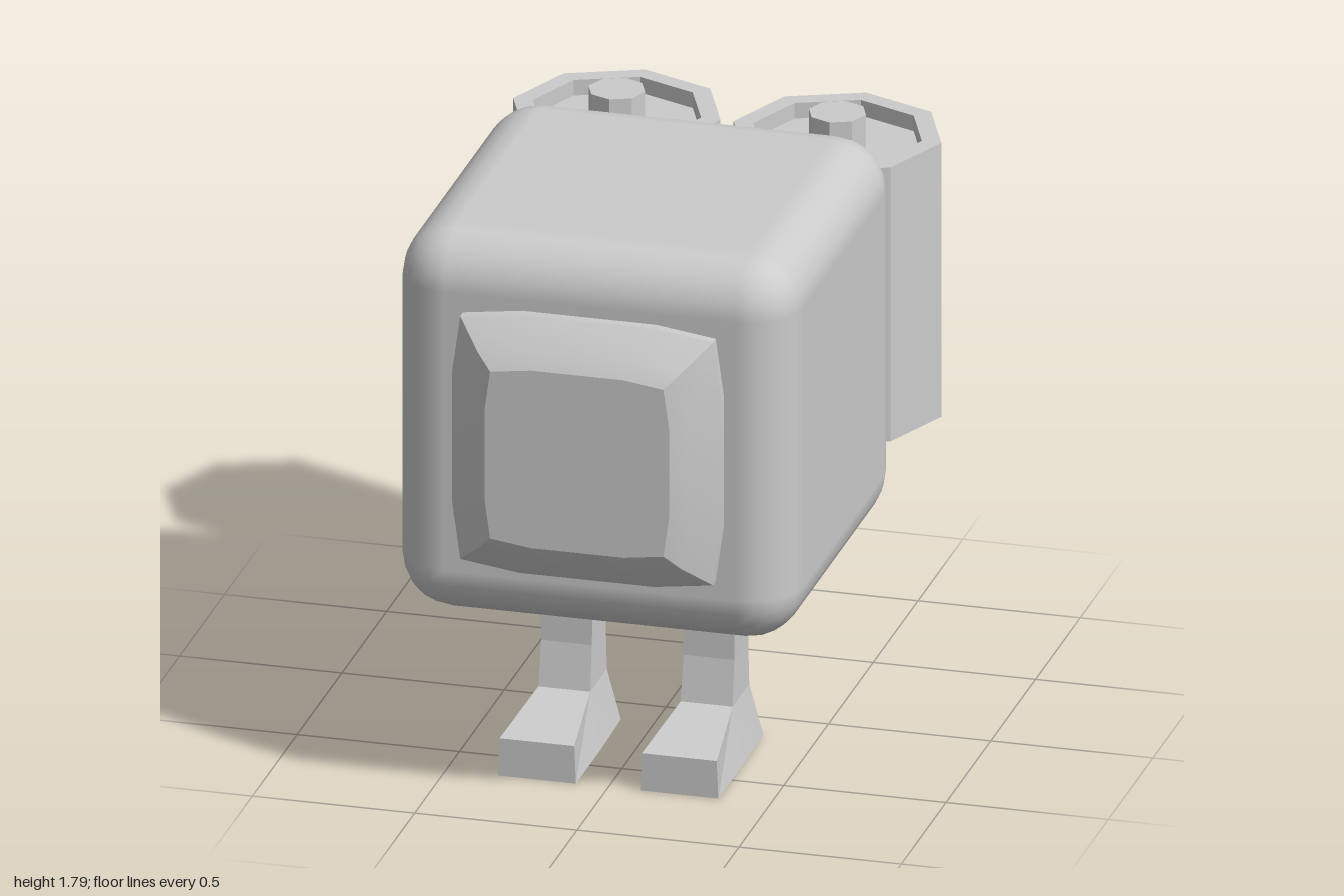
import * as THREE from 'three';
import { toCreasedNormals } from 'three/addons/utils/BufferGeometryUtils.js';
import { RoundedBoxGeometry } from 'three/addons/geometries/RoundedBoxGeometry.js';

const smooth = new THREE.MeshStandardMaterial({ color: 0xcccccc });
const flat = new THREE.MeshStandardMaterial({ color: 0xcccccc, flatShading: true });

function addMesh(parent, name, geometry, material, x = 0, y = 0, z = 0) {
  const mesh = new THREE.Mesh(geometry, material);
  mesh.name = name;
  mesh.position.set(x, y, z);
  parent.add(mesh);
  return mesh;
}

// Skins a list of equal-length rings and caps both ends
function loft(rings) {
  const n = rings[0].length;
  const last = (rings.length - 1) * n;
  const index = [];
  for (let i = 0; i < rings.length - 1; i++) {
    for (let j = 0; j < n; j++) {
      const a = i * n + j, b = i * n + (j + 1) % n;
      const d = a + n, c = b + n;
      index.push(a, d, c, a, c, b);
    }
  }
  for (let j = 1; j < n - 1; j++) {
    index.push(0, j, j + 1, last, last + j + 1, last + j);
  }
  const geometry = new THREE.BufferGeometry();
  geometry.setAttribute('position', new THREE.Float32BufferAttribute(rings.flat(2), 3));
  geometry.setIndex(index);
  geometry.computeVertexNormals();
  return geometry;
}

// Square outline with slightly bowed sides
function bowedSquare(s, z) {
  const ring = [];
  for (let k = 0; k < 4; k++) {
    const c = Math.round(Math.cos(k * Math.PI / 2)), d = Math.round(Math.sin(k * Math.PI / 2));
    for (const [x, y] of [[s, -0.5 * s], [s, 0.5 * s], [0.94 * s, 0.94 * s]]) {
      ring.push([x * c - y * d, x * d + y * c, z]);
    }
  }
  return ring;
}

// Leg ring: front edge (y, z, half width) and back edge (y, z, half width)
function legRing([yf, zf, wf, yb, zb, wb]) {
  return [[-wf, yf, zf], [wf, yf, zf], [wb, yb, zb], [-wb, yb, zb]];
}

export function createModel() {
  const model = new THREE.Group();
  model.name = 'boxRobot';

  // Rounded cube body
  addMesh(model, 'body', new RoundedBoxGeometry(1.23, 1.225, 1.23, 3, 0.165), smooth, 0, 1.177, 0.245);

  // Bevelled face panel
  const panel = loft([
    bowedSquare(0.285, 1), bowedSquare(0.335, 0.97),
    bowedSquare(0.415, 0.89), bowedSquare(0.415, 0.8),
  ]);
  addMesh(model, 'facePanel', toCreasedNormals(panel, 0.5), smooth, 0, 1.175, 0);

  // Leg runs down from the body and bends forward into the foot
  const leg = loft([
    [0.62, 0.35, 0.11, 0.62, 0.13, 0.11],
    [0.46, 0.32, 0.08, 0.46, 0.165, 0.08],
    [0.31, 0.32, 0.078, 0.31, 0.165, 0.078],
    [0.17, 0.345, 0.08, 0.17, 0.16, 0.08],
    [0.17, 0.345, 0.08, 0, 0.13, 0.115],
    [0.17, 0.345, 0.08, 0, 0.37, 0.12],
    [0.12, 0.65, 0.115, 0, 0.65, 0.12],
  ].map(legRing));

  // Octagonal tank, recessed at both ends
  const tank = new THREE.LatheGeometry([
    [0, 0.785], [0.26, 0.785], [0.26, 0.735], [0.32, 0.735],
    [0.32, 1.615], [0.26, 1.615], [0.26, 1.565], [0, 1.565],
  ].map(([r, y]) => new THREE.Vector2(r, y)), 8);
  const valve = new THREE.CylinderGeometry(0.088, 0.088, 0.125, 8);

  for (const [side, s] of [['left', 1], ['right', -1]]) {
    addMesh(model, side + 'Leg', leg, flat, s * 0.22);
    const pack = new THREE.Group();
    pack.name = side + 'BackTank';
    pack.position.set(s * 0.34, 0, -0.68);
    addMesh(pack, 'tank', tank, flat);
    addMesh(pack, 'valve', valve, flat, 0, 1.6175, 0);
    model.add(pack);
  }
  return model;
}
